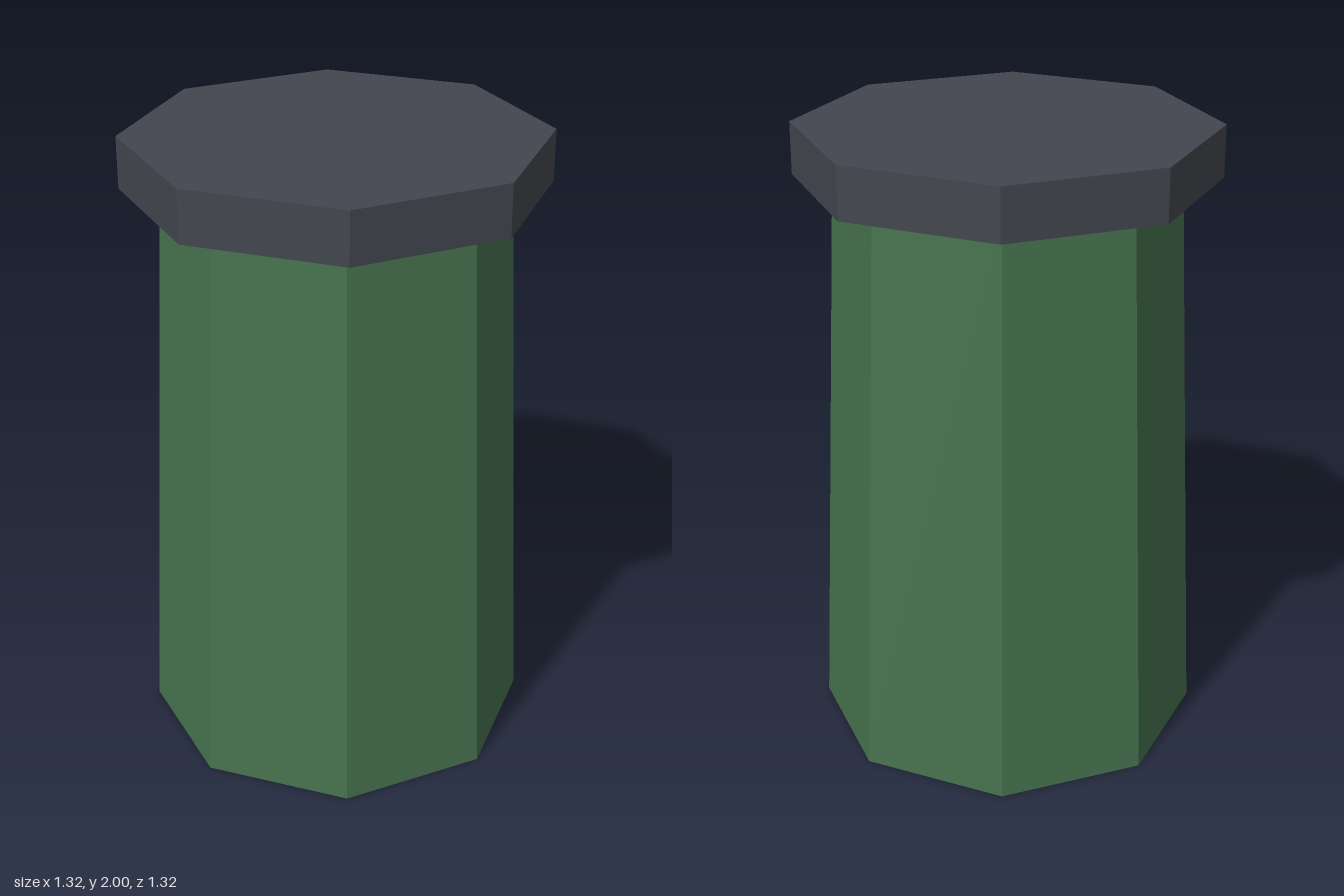
import * as THREE from 'three';

const SIDES = 8;

// Upright octagonal drum standing between two heights
function drum(name, topRadius, bottomRadius, y0, y1, material) {
  const geometry = new THREE.CylinderGeometry(topRadius, bottomRadius, y1 - y0, SIDES).toNonIndexed();
  geometry.computeVertexNormals(); // flat facets
  const mesh = new THREE.Mesh(geometry, material);
  mesh.name = name;
  mesh.position.y = (y0 + y1) / 2;
  return mesh;
}

export function createModel() {
  const green = new THREE.MeshStandardMaterial({ color: 0x46724e });
  green.name = 'green';
  const darkGrey = new THREE.MeshStandardMaterial({ color: 0x42464e });
  darkGrey.name = 'darkGrey';

  const model = new THREE.Group();
  model.name = 'bin';

  // Tapered body, then the wider lid on top
  model.add(drum('body', 0.535, 0.617, 0, 1.836, green));
  model.add(drum('lid', 0.658, 0.658, 1.836, 2, darkGrey));
  return model;
}
